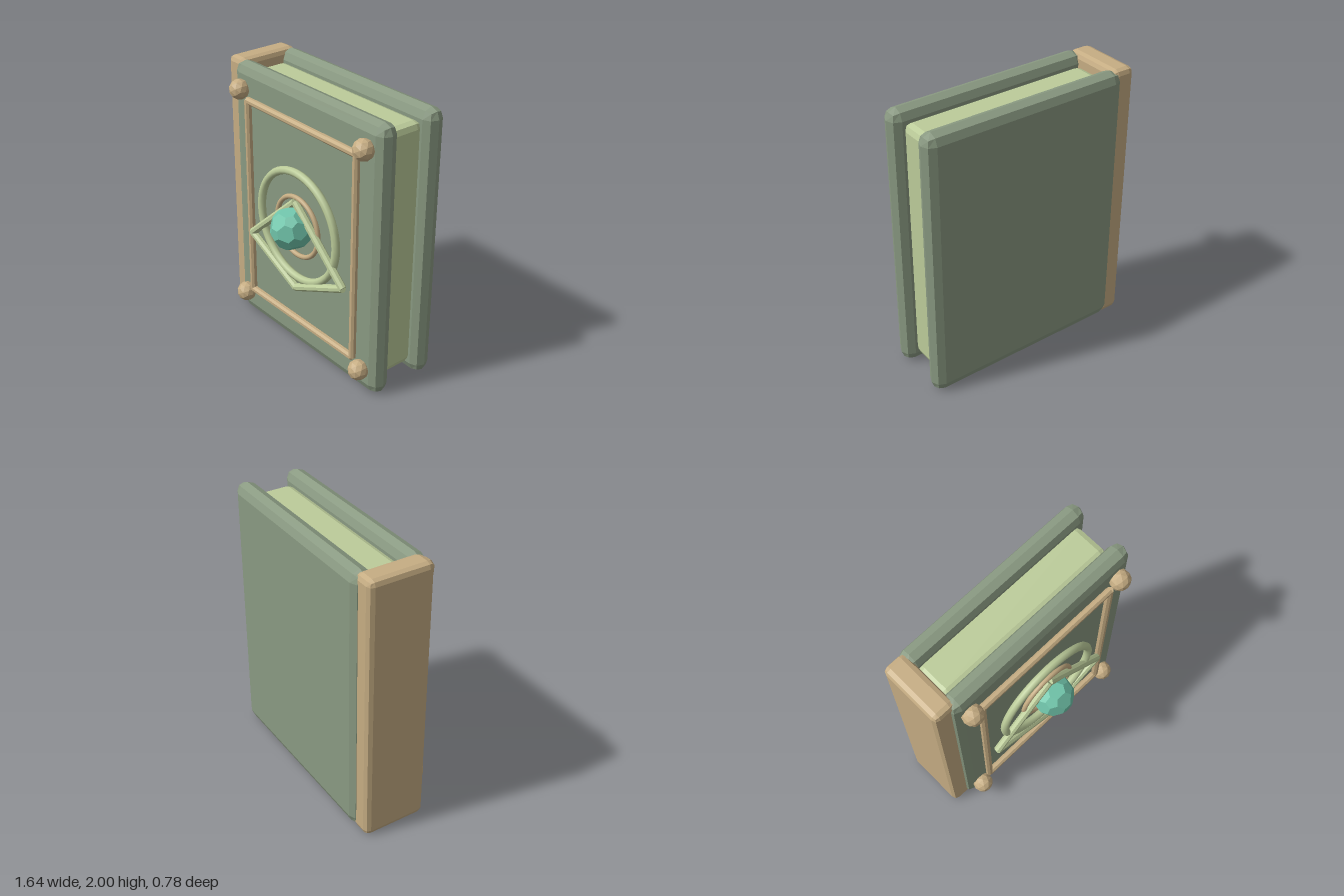
import * as THREE from 'three';
import { ConvexGeometry } from 'three/addons/geometries/ConvexGeometry.js';

const paint = (color) => new THREE.MeshStandardMaterial({ color, flatShading: true });

// Box between two corners, its edges rounded in two facets of radius r
function bevelBox(min, max, r) {
  const geo = new THREE.BoxGeometry(2, 2, 2, 3, 3, 3);
  const lo = new THREE.Vector3(...min), hi = new THREE.Vector3(...max);
  const half = hi.clone().sub(lo).multiplyScalar(0.5);
  const pos = geo.attributes.position;
  const p = new THREE.Vector3(), dir = new THREE.Vector3();
  for (let i = 0; i < pos.count; i++) {
    p.fromBufferAttribute(pos, i);
    dir.set(Math.trunc(p.x * 1.01), Math.trunc(p.y * 1.01), Math.trunc(p.z * 1.01)).normalize();
    p.set(
      Math.sign(p.x) * (half.x - r) + dir.x * r,
      Math.sign(p.y) * (half.y - r) + dir.y * r,
      Math.sign(p.z) * (half.z - r) + dir.z * r
    );
    pos.setXYZ(i, p.x, p.y, p.z);
  }
  geo.translate((lo.x + hi.x) / 2, (lo.y + hi.y) / 2, (lo.z + hi.z) / 2);
  geo.computeVertexNormals();
  return geo;
}

// Eight-sided rod between two points at depth z
function rod([x1, y1], [x2, y2], z, r) {
  const a = new THREE.Vector3(x1, y1, z), b = new THREE.Vector3(x2, y2, z);
  const geo = new THREE.CylinderGeometry(r, r, a.distanceTo(b), 8);
  geo.rotateY(Math.PI / 8);
  geo.rotateZ(Math.atan2(y2 - y1, x2 - x1) - Math.PI / 2);
  return geo.translate((x1 + x2) / 2, (y1 + y2) / 2, z);
}

// Icosahedron with its corners cut off, one corner facing the front
function gemGeometry(r, cut) {
  const t = (1 + Math.sqrt(5)) / 2;
  const corners = [];
  for (const a of [-1, 1]) for (const b of [-t, t]) {
    corners.push(new THREE.Vector3(0, a, b), new THREE.Vector3(a, b, 0), new THREE.Vector3(b, 0, a));
  }
  const points = [];
  for (const a of corners) for (const b of corners) {
    const d = a.distanceTo(b);
    if (d > 0.1 && d < 2.1) points.push(a.clone().lerp(b, cut).multiplyScalar(r / Math.hypot(1, t)));
  }
  return new ConvexGeometry(points).rotateX(Math.atan2(1, t));
}

export function createModel() {
  const book = new THREE.Group();
  const green = paint(0x8a9a82), tan = paint(0xc6ad83);
  const pale = paint(0xbccc9a), teal = paint(0x70c4aa);
  const add = (name, geo, material, parent = book) => {
    const mesh = new THREE.Mesh(geo, material);
    mesh.name = name;
    parent.add(mesh);
    return mesh;
  };
  const group = (name) => {
    const g = new THREE.Group();
    g.name = name;
    book.add(g);
    return g;
  };

  // Covers, page block and spine
  add('frontCover', bevelBox([-0.72, 0, 0], [0.82, 2, 0.147], 0.0735), green);
  add('backCover', bevelBox([-0.72, 0, -0.39], [0.82, 2, -0.243], 0.0735), green);
  add('pages', bevelBox([-0.67, 0.085, -0.265], [0.74, 1.915, 0.02], 0.05), pale);
  add('spine', bevelBox([-0.825, 0, -0.365], [-0.655, 2, 0.108], 0.04), tan);

  // Raised rectangular frame
  const frame = group('coverFrame');
  const [left, right, bottom, top] = [-0.52, 0.605, 0.245, 1.765];
  for (const y of [bottom, top]) add('frameRail', rod([left, y], [right, y], 0.17, 0.026), tan, frame);
  for (const x of [left, right]) add('framePost', rod([x, bottom], [x, top], 0.17, 0.026), tan, frame);

  // Corner studs
  const studs = group('cornerStuds');
  for (const x of [-0.6, 0.68]) for (const y of [0.185, 1.825]) {
    add('stud', new THREE.IcosahedronGeometry(0.074, 1).translate(x, y, 0.18), tan, studs);
  }

  // Two concentric rings
  const cx = 0.042, cy = 1.022;
  const ring = (name, R, r, color) => add(name,
    new THREE.TorusGeometry(R, r, 8, 48).translate(cx, cy, 0.19),
    new THREE.MeshStandardMaterial({ color }));
  ring('outerRing', 0.403, 0.029, 0xbccc9a);
  ring('innerRing', 0.22, 0.018, 0xc6ad83);

  // Kite-shaped emblem of four bars
  const kite = group('kiteEmblem');
  const tips = [[cx, 1.22], [0.54, 0.775], [cx, 0.545], [-0.455, 0.775]];
  tips.forEach((tip, i) => add('kiteBar', rod(tip, tips[(i + 1) % 4], 0.208, 0.028), pale, kite));

  // Faceted gem
  add('gem', gemGeometry(0.172, 0.3).translate(cx + 0.003, 1.03, 0.245), teal);

  return book;
}
